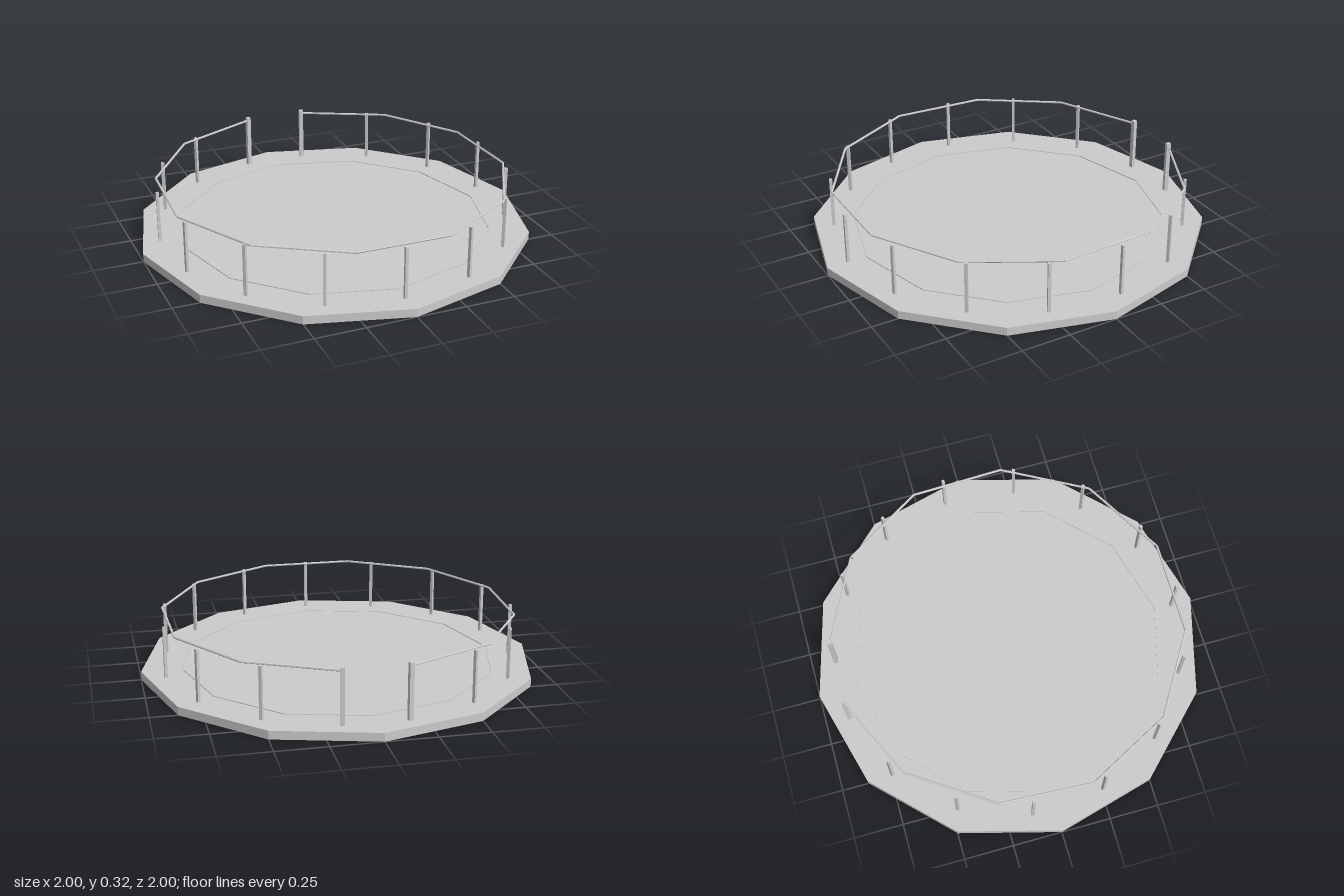
import * as THREE from 'three';

const material = new THREE.MeshStandardMaterial({ color: 0xcccccc, flatShading: true, side: THREE.DoubleSide });
const FENCE_RADIUS = 0.89;
const START = THREE.MathUtils.degToRad(-170.3);
const END = THREE.MathUtils.degToRad(169.3);

// Point on the fence circle; t runs from one side of the rear opening to the other
function fencePoint(t, y) {
  const a = THREE.MathUtils.lerp(START, END, t);
  return new THREE.Vector3(Math.sin(a) * FENCE_RADIUS, y, Math.cos(a) * FENCE_RADIUS);
}

function addMesh(parent, geometry, name) {
  const mesh = new THREE.Mesh(geometry, material);
  mesh.name = name;
  parent.add(mesh);
  return mesh;
}

// Straight bar between two points
function addBar(parent, a, b, radius, name) {
  const bar = addMesh(parent, new THREE.CylinderGeometry(radius, radius, a.distanceTo(b), 6), name);
  bar.position.copy(a).add(b).multiplyScalar(0.5);
  bar.quaternion.setFromUnitVectors(new THREE.Vector3(0, 1, 0), b.clone().sub(a).normalize());
}

export function createModel() {
  const model = new THREE.Group();
  model.name = 'fencedPlatform';

  // Twelve-sided deck: raised foot in the middle below, fine seam on top
  const profile = [
    [0, 0], [0.8, 0], [0.8, 0.036], [1, 0], [1, 0.042],
    [0.8, 0.042], [0.8, 0.038], [0.793, 0.038], [0.793, 0.042], [0, 0.042],
  ].map(([r, y]) => new THREE.Vector2(r, y));
  addMesh(model, new THREE.LatheGeometry(profile, 12), 'deck');

  // Fence posts, with thicker and taller ones beside the opening
  const posts = new THREE.Group();
  posts.name = 'fencePosts';
  model.add(posts);
  const postCount = 15;
  for (let i = 0; i < postCount; i++) {
    const gate = i === 0 || i === postCount - 1;
    const width = gate ? 0.022 : 0.015;
    const top = gate ? 0.32 : 0.303;
    const post = addMesh(posts, new THREE.BoxGeometry(width, top - 0.04, width), gate ? 'gatePost' : 'post');
    const t = i / (postCount - 1);
    post.position.copy(fencePoint(t, (top + 0.04) / 2));
    post.rotation.y = THREE.MathUtils.lerp(START, END, t);
  }

  // Handrail of eleven straight bars
  const rail = new THREE.Group();
  rail.name = 'handrail';
  model.add(rail);
  const bars = 11;
  for (let i = 0; i < bars; i++) {
    addBar(rail, fencePoint(i / bars, 0.304), fencePoint((i + 1) / bars, 0.304), 0.006, 'railBar');
  }
  return model;
}
